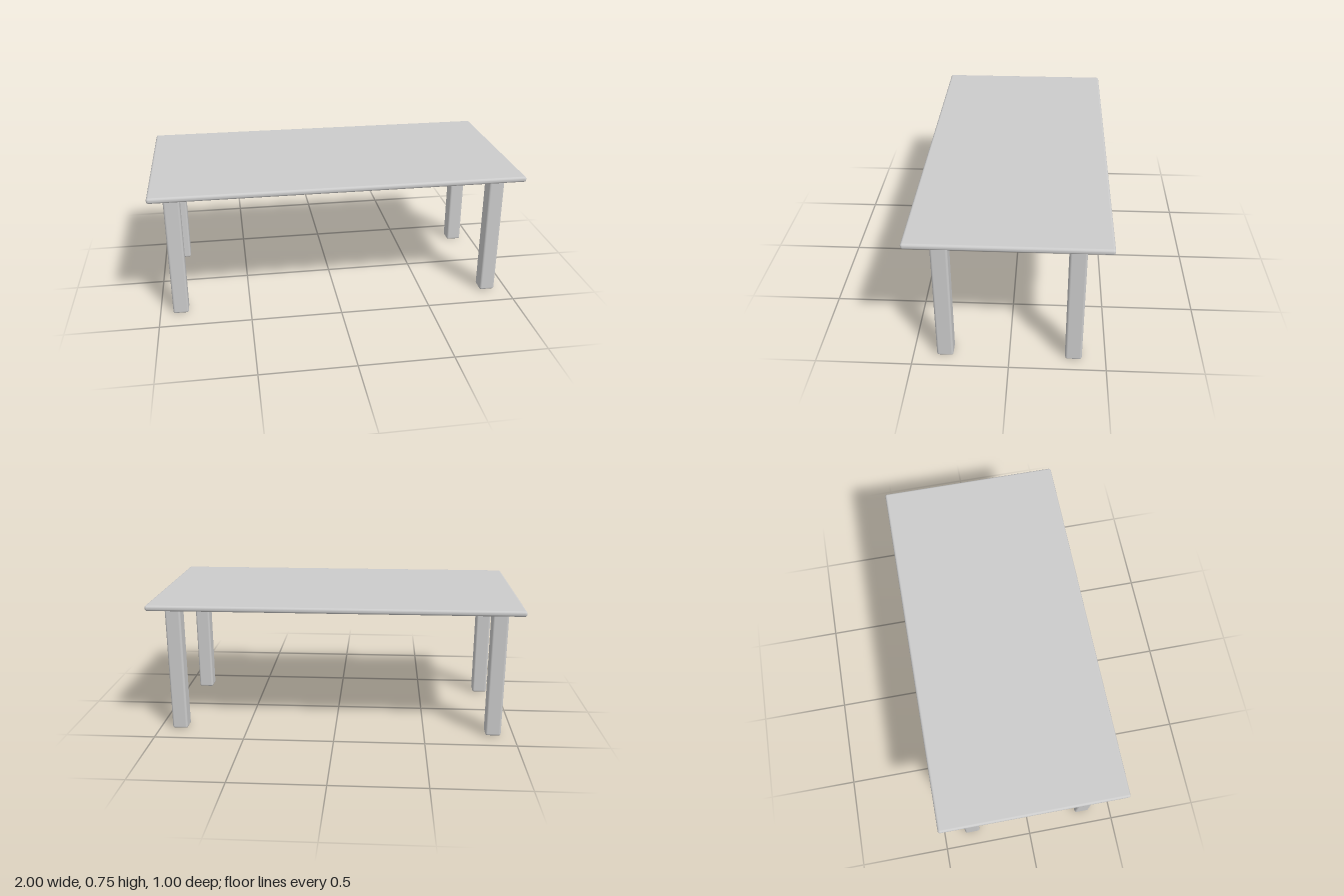
import * as THREE from 'three';
import { RoundedBoxGeometry } from 'three/addons/geometries/RoundedBoxGeometry.js';

const TOP_Y = 0.755, TOP_THICKNESS = 0.03;
const LEG_WIDTH = 0.086, LEG_HEIGHT = 0.74;
const LEG_X = 0.886, LEG_Z = 0.334;

export function createModel() {
  const group = new THREE.Group();
  group.name = 'table';
  const material = new THREE.MeshStandardMaterial({ color: 0xcccccc });

  // Thin slab with softly rounded edges
  const top = new THREE.Mesh(new RoundedBoxGeometry(2, TOP_THICKNESS, 1, 4, 0.013), material);
  top.name = 'tabletop';
  top.position.y = TOP_Y - TOP_THICKNESS / 2;
  group.add(top);

  // Four square legs, their upper ends set into the slab
  const legGeometry = new RoundedBoxGeometry(LEG_WIDTH, LEG_HEIGHT, LEG_WIDTH, 4, 0.012);
  for (const [sideName, sx] of [['Left', 1], ['Right', -1]]) {
    for (const [endName, sz] of [['front', 1], ['back', -1]]) {
      const leg = new THREE.Mesh(legGeometry, material);
      leg.name = `${endName}${sideName}Leg`;
      leg.position.set(sx * LEG_X, LEG_HEIGHT / 2, sz * LEG_Z);
      group.add(leg);
    }
  }
  return group;
}
